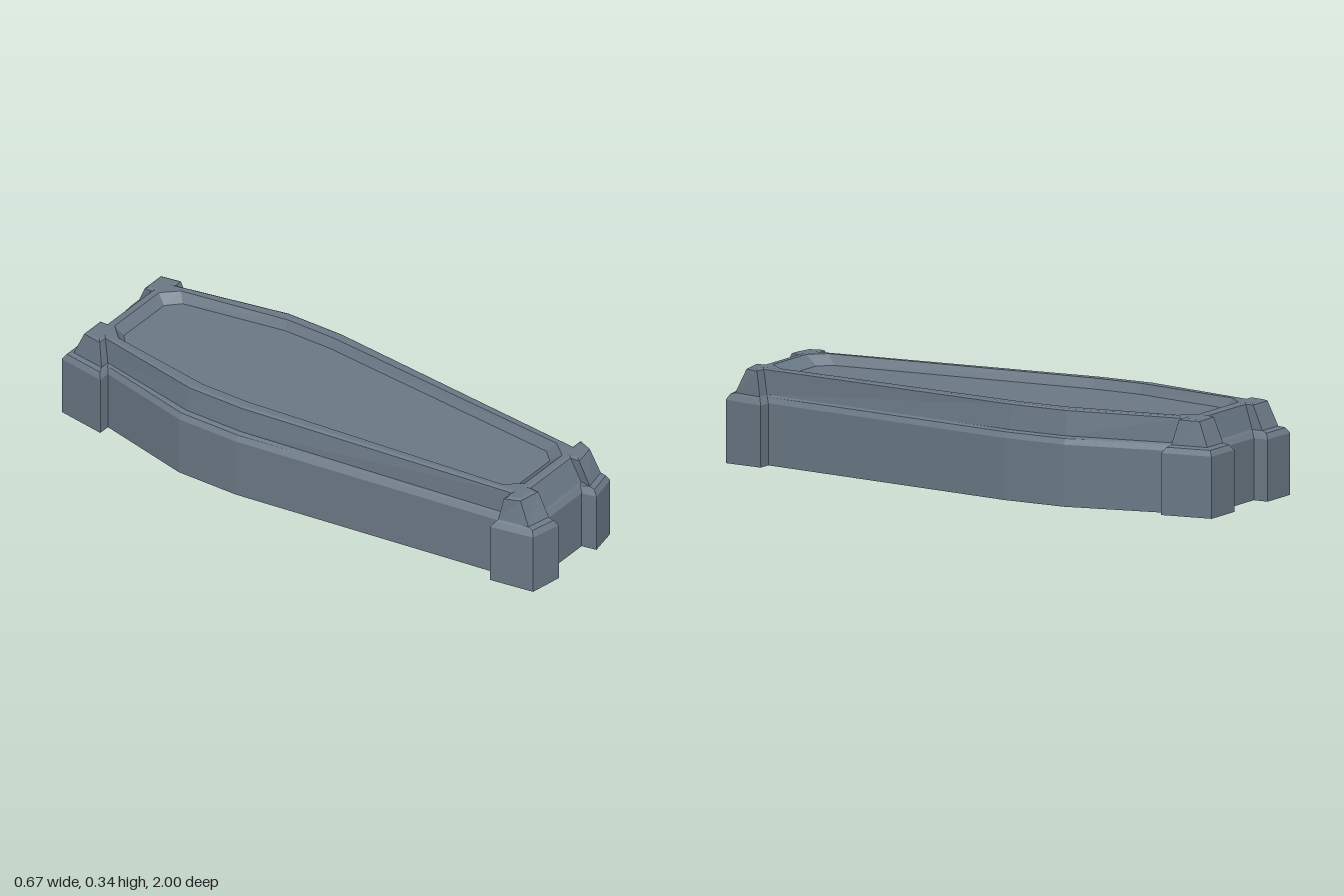
import * as THREE from 'three';

// Mirror a half outline (front to back on +x) into a closed loop of [x, z]
const mirror = (half) => [...half, ...half.map(([x, z]) => [-x, z]).reverse()];

// Move every edge of a loop inwards by d
function inset(loop, d) {
  const n = loop.length;
  const normal = (p, q) => {
    const dx = q[0] - p[0], dz = q[1] - p[1], l = Math.hypot(dx, dz);
    return [dz / l, -dx / l];
  };
  return loop.map((p, i) => {
    const a = normal(loop[(i + n - 1) % n], p), b = normal(p, loop[(i + 1) % n]);
    const k = d / (1 + a[0] * b[0] + a[1] * b[1]);
    return [p[0] + (a[0] + b[0]) * k, p[1] + (a[1] + b[1]) * k];
  });
}

// Walls between stacked rings; each ring is { loop, y(x, z) }
function loft(rings) {
  const pos = [];
  for (let r = 0; r + 1 < rings.length; r++) {
    const at = (ring, i) => {
      const [x, z] = ring.loop[i % ring.loop.length];
      return [x, ring.y(x, z), z];
    };
    for (let i = 0; i < rings[r].loop.length; i++) {
      const a = at(rings[r], i), b = at(rings[r], i + 1);
      const c = at(rings[r + 1], i + 1), d = at(rings[r + 1], i);
      pos.push(...a, ...b, ...c, ...a, ...c, ...d);
    }
  }
  const g = new THREE.BufferGeometry();
  g.setAttribute('position', new THREE.Float32BufferAttribute(pos, 3));
  g.computeVertexNormals();
  return g;
}

// Flat face filling a loop, facing up or down, with an optional hole
function cap(loop, y, { hole, down = false } = {}) {
  const vec = (l) => l.map(([x, z]) => new THREE.Vector2(x, down ? z : -z));
  const shape = new THREE.Shape(vec(loop));
  if (hole) shape.holes.push(new THREE.Path(vec(hole)));
  const g = new THREE.ShapeGeometry(shape).rotateX(down ? Math.PI / 2 : -Math.PI / 2);
  const p = g.attributes.position;
  for (let i = 0; i < p.count; i++) p.setY(i, y(p.getX(i), p.getZ(i)));
  g.computeVertexNormals();
  return g;
}

export function createModel() {
  const group = new THREE.Group();
  const stone = new THREE.MeshStandardMaterial({ color: 0x6b7986, flatShading: true });
  stone.name = 'slateStone';
  const add = (name, geometry) => {
    const mesh = new THREE.Mesh(geometry, stone);
    mesh.name = name;
    group.add(mesh);
  };
  const level = (h) => () => h;

  // Outlines include the four corner posts
  const base = mirror([
    [0.1, 0.945], [0.11, 1], [0.226, 0.975], [0.258, 0.815], [0.208, 0.815], [0.333, -0.21],
    [0.333, -0.45], [0.245, -0.815], [0.29, -0.815], [0.26, -1], [0.11, -1], [0.11, -0.945],
  ]);
  const lidBottom = mirror([
    [0.125, 0.925], [0.12, 0.965], [0.212, 0.945], [0.235, 0.833], [0.187, 0.833], [0.303, -0.21],
    [0.303, -0.44], [0.218, -0.835], [0.255, -0.835], [0.235, -0.967], [0.13, -0.967], [0.13, -0.925],
  ]);
  const lidTop = mirror([
    [0.118, 0.885], [0.12, 0.92], [0.203, 0.905], [0.225, 0.85], [0.18, 0.85], [0.29, -0.215],
    [0.29, -0.435], [0.205, -0.855], [0.238, -0.855], [0.225, -0.93], [0.13, -0.93], [0.13, -0.9],
  ]);
  const rim = inset(lidTop, 0.01);
  const recessTop = mirror([
    [0.11, 0.855], [0.16, 0.795], [0.25, -0.22], [0.25, -0.41], [0.183, -0.815], [0.13, -0.87],
  ]);
  const recessFloor = mirror([
    [0.1, 0.81], [0.142, 0.765], [0.233, -0.22], [0.233, -0.41], [0.165, -0.795], [0.118, -0.84],
  ]);

  // Base with bevelled shoulder; the front posts reach slightly lower
  const foot = (x, z) => (z > 0.9 && Math.abs(x) > 0.2 ? 0 : 0.005);
  add('baseUnderside', cap(base, foot, { down: true }));
  add('baseWalls', loft([
    { loop: base, y: foot },
    { loop: base, y: level(0.222) },
    { loop: inset(base, 0.013), y: level(0.241) },
    { loop: lidBottom, y: level(0.247) },
  ]));

  // Lid with sloped sides and a raised rim
  add('lidWalls', loft([
    { loop: lidBottom, y: level(0.247) },
    { loop: lidTop, y: level(0.333) },
    { loop: rim, y: level(0.338) },
  ]));
  add('lidRim', cap(rim, level(0.338), { hole: recessTop }));

  // Sunken panel
  add('panelWalls', loft([
    { loop: recessTop, y: level(0.338) },
    { loop: recessFloor, y: level(0.303) },
  ]));
  add('panelFloor', cap(recessFloor, level(0.303)));
  return group;
}
